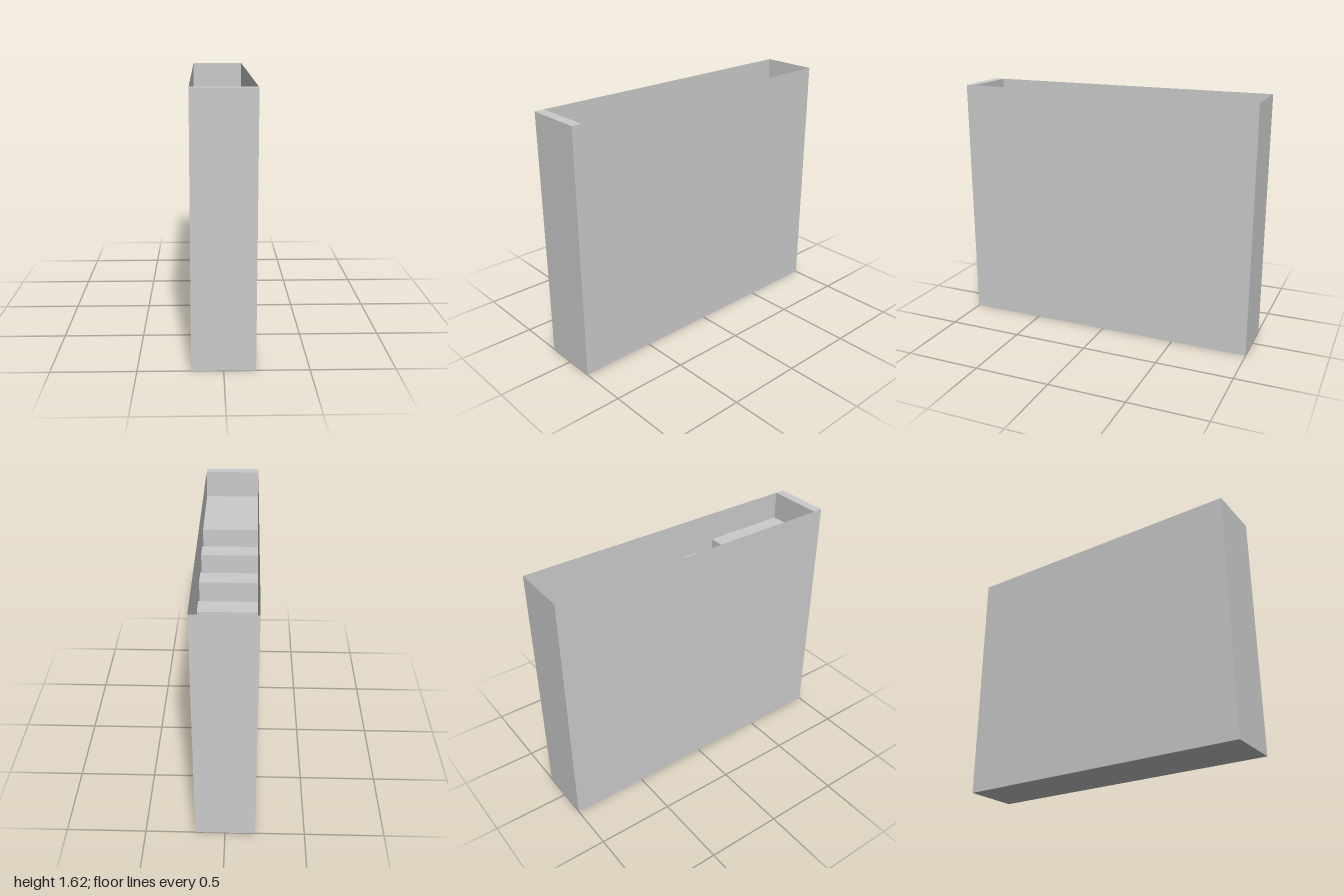
import * as THREE from 'three';

const W = 0.375, H = 1.625, L = 2, U = 0.0625;

export function createModel() {
  const group = new THREE.Group();
  const solid = new THREE.MeshStandardMaterial({ color: 0xcccccc, flatShading: true });
  const sheet = new THREE.MeshStandardMaterial({ color: 0xcccccc, side: THREE.DoubleSide });

  // Block standing on the floor between two z positions
  const block = (name, z0, z1, height, width = W - 0.002) => {
    const mesh = new THREE.Mesh(new THREE.BoxGeometry(width, height, z1 - z0), solid);
    mesh.position.set(0, height / 2, (z0 + z1) / 2);
    mesh.name = name;
    group.add(mesh);
  };

  // Thin panel of the open-topped shell
  const panel = (name, w, h, pos, rx, ry) => {
    const mesh = new THREE.Mesh(new THREE.PlaneGeometry(w, h), sheet);
    mesh.position.set(...pos);
    mesh.rotation.set(rx, ry, 0);
    mesh.name = name;
    group.add(mesh);
  };

  // Shell: two long sides, back and floor
  panel('leftWall', L, H, [W / 2, H / 2, 0], 0, Math.PI / 2);
  panel('rightWall', L, H, [-W / 2, H / 2, 0], 0, -Math.PI / 2);
  panel('backWall', W, H, [0, H / 2, -L / 2], 0, Math.PI);
  panel('floor', W, L, [0, 0, 0], Math.PI / 2, 0);

  // Thick front wall and the high platform behind it
  block('frontWall', 1 - U, 1, H, W);
  block('platform', 0.375, 1 - U, H - 3 * U);

  // Spaced steps descending towards the back
  for (let i = 0; i < 4; i++) {
    const z = 0.125 - i * 0.25;
    block('step' + (i + 1), z, z + 0.125, H - (4 + i) * U);
  }
  return group;
}
